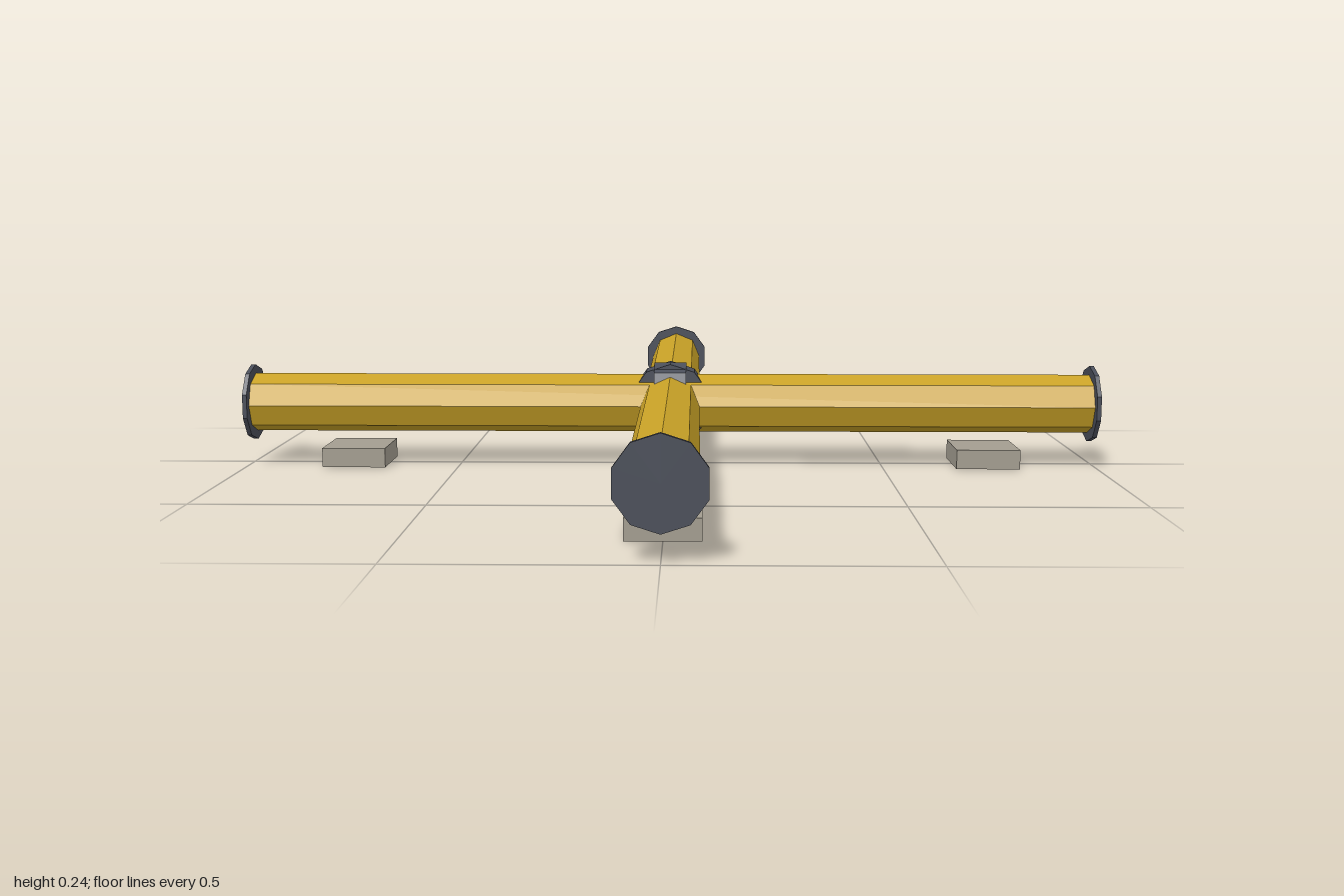
import * as THREE from 'three';

const AXIS_Y = 0.145; // height of the pipe centre lines

export function createModel() {
  const model = new THREE.Group();
  model.name = 'pipeCross';

  const mat = (name, color) => {
    const m = new THREE.MeshStandardMaterial({ color, flatShading: true });
    m.name = name;
    return m;
  };
  const yellow = mat('yellowPaint', 0xc9a227);
  const steel = mat('darkSteel', 0x4a4e59);
  const concrete = mat('concrete', 0xa39d90);

  const add = (name, geometry, material, parent, x, y, z) => {
    const mesh = new THREE.Mesh(geometry, material);
    mesh.name = name;
    mesh.position.set(x, y, z);
    parent.add(mesh);
    return mesh;
  };
  // Cylinder lying along z with a corner pointing straight up
  const lying = (radius, length, sides) =>
    new THREE.CylinderGeometry(radius, radius, length, sides).rotateX(Math.PI / 2);

  const pipeGeo = lying(0.069, 1.985, 8);
  const collarGeo = lying(0.096, 0.075, 10);
  const flangeGeo = lying(0.09, 0.01, 10);
  const padGeo = new THREE.BoxGeometry(0.148, 0.045, 0.148);

  // Two identical pipe runs crossing at right angles
  for (let i = 0; i < 2; i++) {
    const run = new THREE.Group();
    run.name = i ? 'sidewaysRun' : 'lengthwiseRun';
    run.rotation.y = (i * Math.PI) / 2;
    model.add(run);

    add('pipe', pipeGeo, yellow, run, 0, AXIS_Y, 0);
    add('hubCollar', collarGeo, steel, run, 0, AXIS_Y, 0);
    for (const s of [-1, 1]) {
      add('endFlange', flangeGeo, steel, run, 0, AXIS_Y, s * 0.995);
      add('supportPad', padGeo, concrete, run, 0, 0.0225, s * 0.745);
    }
  }
  return model;
}
